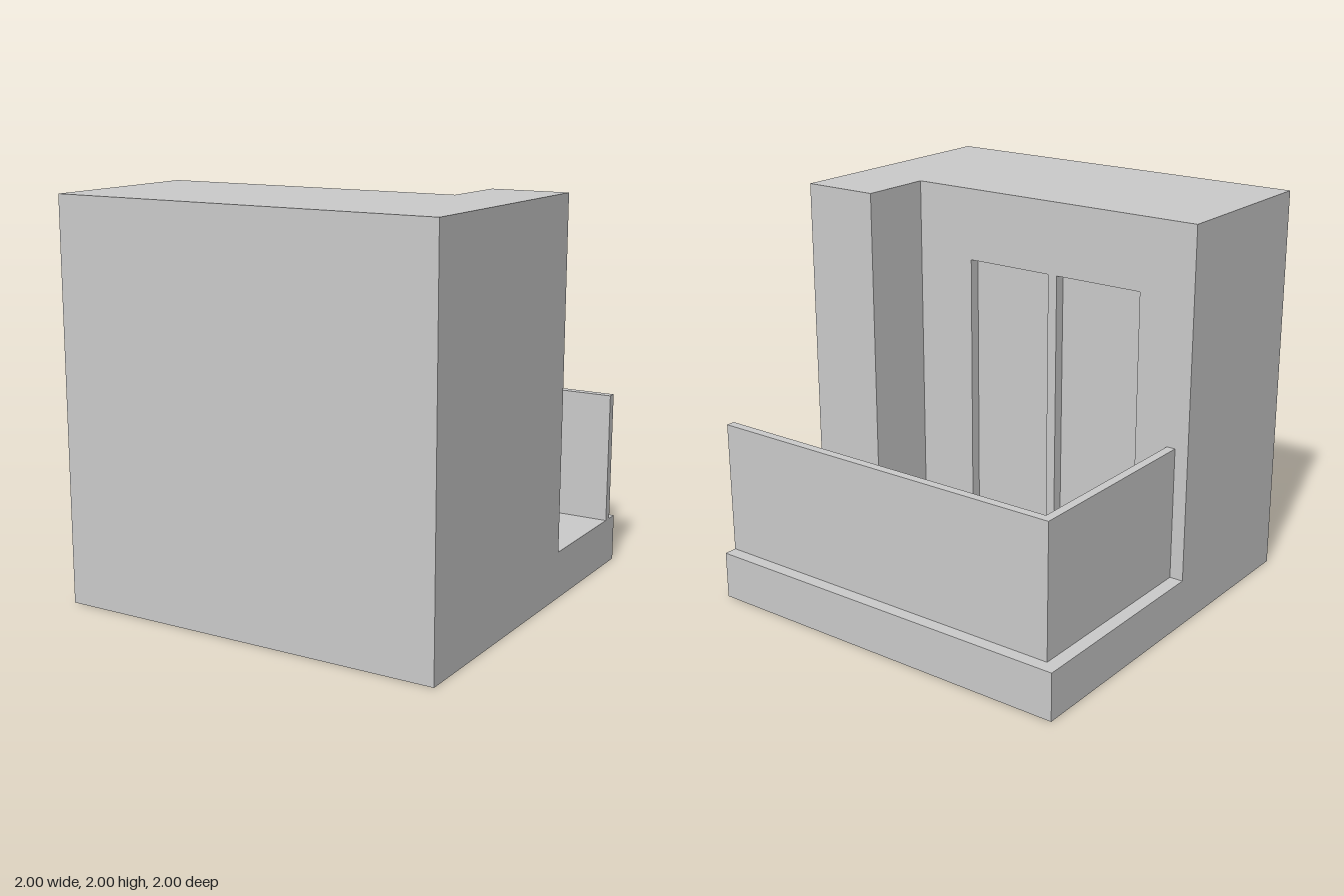
import * as THREE from 'three';

const FLOOR = 0.24, TOP = 2;      // balcony floor and roof heights
const WALL = 0.1, RECESS = 0.055; // back wall position and door recess depth
const PIER_X = 0.6, PIER_Z = -0.28;

export function createModel() {
  const group = new THREE.Group();
  const material = new THREE.MeshStandardMaterial({ color: 0xcccccc });

  const add = (name, geometry) => {
    const mesh = new THREE.Mesh(geometry, material);
    mesh.name = name;
    group.add(mesh);
    return mesh;
  };
  const shapeOf = (points) => new THREE.Shape(points.map(([a, b]) => new THREE.Vector2(a, b)));
  const extrude = (points, depth) =>
    new THREE.ExtrudeGeometry(shapeOf(points), { depth, bevelEnabled: false });
  // Extrudes an (x, z) outline upwards from y0 to y1
  const extrudePlan = (name, plan, y0, y1) => {
    const geometry = extrude(plan.map(([x, z]) => [x, -z]), y1 - y0);
    geometry.rotateX(-Math.PI / 2).translate(0, y0, 0);
    return add(name, geometry);
  };

  // Floor slab under the building and the balcony
  extrudePlan('floorSlab', [[-1, -1], [1, -1], [1, 1], [-1, 1]], 0, FLOOR);

  // Building block with the projecting corner pier
  const inner = WALL + RECESS;
  extrudePlan('building', [
    [-1, 1], [1, 1], [1, PIER_Z], [PIER_X, PIER_Z], [PIER_X, inner], [-1, inner],
  ], FLOOR, TOP);

  // Back wall layer, notched by the two door recesses
  const doorTop = 1.64;
  const outline = [[-1, FLOOR]];
  for (const [x0, x1] of [[-0.71, -0.24], [-0.19, 0.28]]) {
    outline.push([x0, FLOOR], [x0, doorTop], [x1, doorTop], [x1, FLOOR]);
  }
  outline.push([PIER_X, FLOOR], [PIER_X, TOP], [-1, TOP]);
  add('doorWall', extrude(outline, RECESS).translate(0, 0, WALL));

  // L-shaped balcony parapet, open towards the pier side
  extrudePlan('parapet', [
    [-0.93, WALL], [-0.93, -0.935], [1, -0.935], [1, -0.89], [-0.885, -0.89], [-0.885, WALL],
  ], FLOOR, 0.91);

  return group;
}
